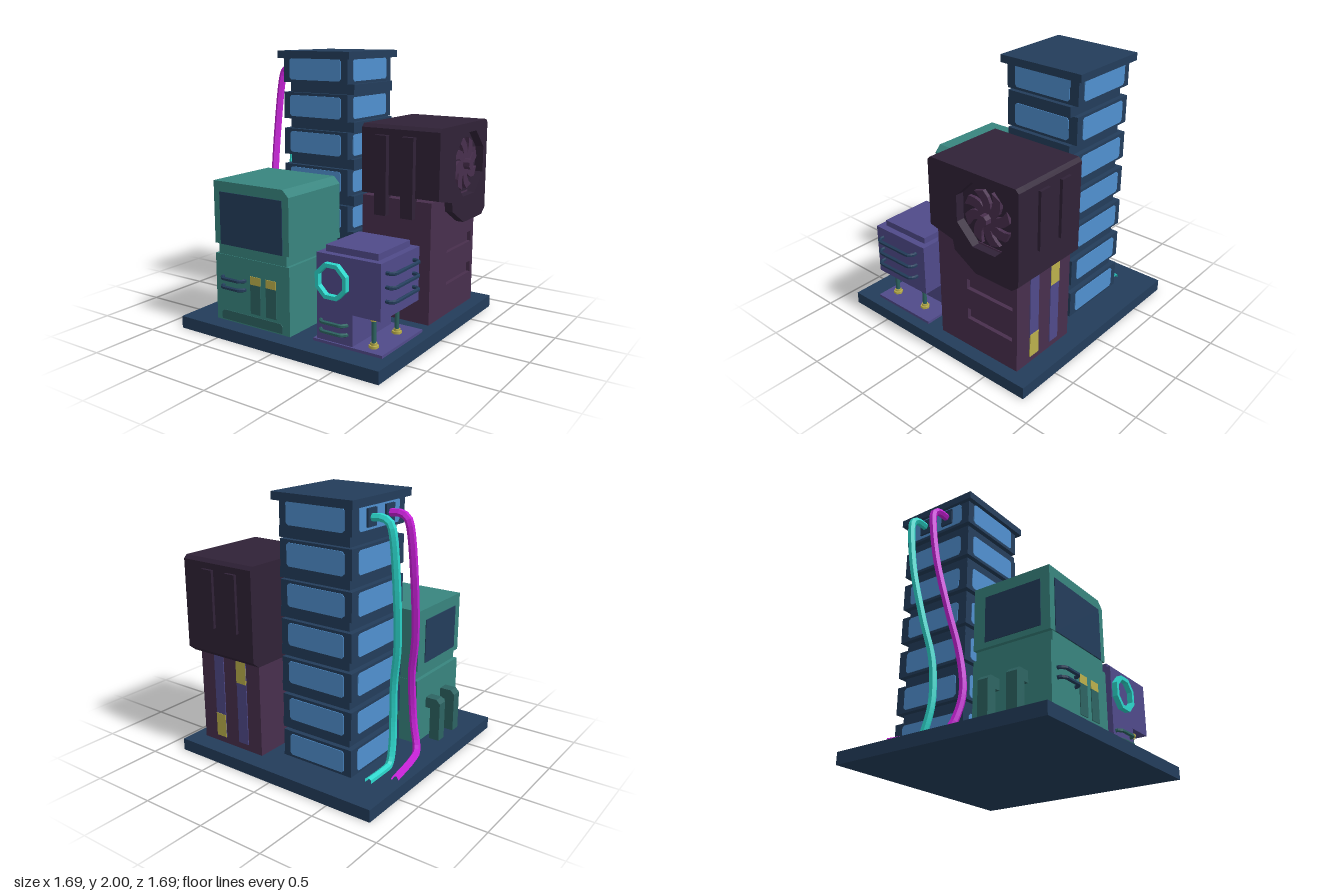
import * as THREE from 'three';

const mat = (name, color) => {
  const m = new THREE.MeshStandardMaterial({ color });
  m.name = name;
  return m;
};

export function createModel() {
  const M = {
    navy: mat('navy', 0x233d5b), glass: mat('window blue', 0x5090d0),
    teal: mat('teal', 0x38857f), darkTeal: mat('dark teal', 0x2d6462),
    purple: mat('purple', 0x504a8a), plum: mat('plum', 0x482f4d),
    dark: mat('dark plum', 0x302237), cyan: mat('cyan', 0x2cd6cb),
    magenta: mat('magenta', 0xc822d8), yellow: mat('yellow', 0xbcb04c),
  };
  const model = new THREE.Group();
  model.name = 'techDistrict';

  // ---- helpers ----
  const group = (name) => {
    const g = new THREE.Group();
    g.name = name;
    model.add(g);
    return g;
  };
  const add = (parent, name, geo, material) => {
    const mesh = new THREE.Mesh(geo, material);
    mesh.name = name;
    parent.add(mesh);
    return mesh;
  };
  // box given by its extents
  const box = (parent, name, material, x0, x1, y0, y1, z0, z1) => {
    const mesh = add(parent, name, new THREE.BoxGeometry(x1 - x0, y1 - y0, z1 - z0), material);
    mesh.position.set((x0 + x1) / 2, (y0 + y1) / 2, (z0 + z1) / 2);
    return mesh;
  };
  const outline = (pts) => pts.map(([x, y]) => new THREE.Vector2(x, y));
  const extrude = (pts, depth, holes = []) => {
    const s = new THREE.Shape(outline(pts));
    holes.forEach((h) => s.holes.push(new THREE.Path(outline(h))));
    return new THREE.ExtrudeGeometry(s, { depth, bevelEnabled: false });
  };
  // profile points are (-z, y), swept from x0 to x1
  const sweepX = (pts, x0, x1, holes) =>
    extrude(pts, x1 - x0, holes).rotateY(Math.PI / 2).translate(x0, 0, 0);
  const rect = (x0, x1, y0, y1) => [[x0, y0], [x1, y0], [x1, y1], [x0, y1]];
  const chamfered = (w, h, c) => [
    [-w + c, -h], [w - c, -h], [w, -h + c], [w, h - c],
    [w - c, h], [-w + c, h], [-w, h - c], [-w, -h + c]];
  const octagon = (cx, cy, r) => Array.from({ length: 8 }, (_, i) => {
    const a = (i + 0.5) * Math.PI / 4;
    return [cx + r * Math.cos(a), cy + r * Math.sin(a)];
  });
  const tube = (parent, name, material, pts, r, sides, seg, tension = 0.5) => {
    const curve = new THREE.CatmullRomCurve3(
      pts.map((p) => new THREE.Vector3(...p)), false, 'catmullrom', tension);
    const geo = new THREE.TubeGeometry(curve, seg, r, sides).toNonIndexed();
    geo.computeVertexNormals();
    material.side = THREE.DoubleSide;
    return add(parent, name, geo, material);
  };
  // U-shaped rail, local x along its length, bulging towards +z
  const rail = (parent, name, material, length, out) => {
    const w = length / 2 - 0.015;
    return tube(parent, name, material, [
      [-w, 0, -0.01], [-w, 0, out - 0.04], [-w + 0.03, 0, out - 0.013], [0, 0, out - 0.013],
      [w - 0.03, 0, out - 0.013], [w, 0, out - 0.04], [w, 0, -0.01]], 0.014, 6, 24, 0.2);
  };

  box(model, 'base', M.navy, -0.845, 0.845, 0, 0.09, -0.845, 0.845);

  // ---- office tower ----
  const tower = group('tower');
  box(tower, 'towerCap', M.navy, -0.57, 0.075, 1.945, 2, -0.66, 0.02);
  box(tower, 'towerCore', M.navy, -0.5, 0.075, 0.09, 1.945, -0.585, -0.05);
  for (let i = 0; i < 7; i++) {
    const y = 1.765 - i * 0.275;
    box(tower, 'floor', M.navy, -0.54, 0.04, y, Math.min(y + 0.2, 1.95), -0.62, -0.015);
    for (let s = 0; s < 4; s++) {
      const pane = new THREE.Group();
      pane.name = 'windowSide';
      pane.position.set(-0.25, y + 0.1, -0.3175);
      pane.rotation.y = s * Math.PI / 2;
      tower.add(pane);
      add(pane, 'window', extrude(chamfered(0.232, 0.08, 0.016), 0.006), M.glass)
        .position.z = s % 2 ? 0.289 : 0.302;
    }
  }
  // core steps in to the floors on the +x side, so the ledge is only between floors
  tower.getObjectByName('towerCore').visible = true;
  tower.getObjectByName('towerCore').scale.x = 0.9;
  tower.getObjectByName('towerCore').position.x = -0.24;
  for (let i = 0; i < 7; i++) {
    const y = 1.69 - i * 0.275;
    box(tower, 'ledge', M.navy, -0.5, 0.075, Math.max(y, 0.09), y + 0.075, -0.585, -0.05);
  }
  for (const z of [-0.215, -0.425])
    box(tower, 'cableSocket', M.navy, -0.56, -0.53, 1.805, 1.925, z - 0.05, z + 0.05);

  // ---- cables from the tower to the ground ----
  tube(model, 'magentaCable', M.magenta, [
    [-0.55, 1.865, -0.215], [-0.66, 1.862, -0.215], [-0.71, 1.77, -0.21], [-0.715, 1.4, -0.15],
    [-0.68, 1, -0.06], [-0.625, 0.7, 0], [-0.615, 0.45, 0.04], [-0.635, 0.28, 0.035],
    [-0.69, 0.12, -0.01], [-0.73, 0.1, -0.15], [-0.775, 0.1, -0.44]], 0.028, 6, 60);
  tube(model, 'cyanCable', M.cyan, [
    [-0.55, 1.865, -0.425], [-0.66, 1.862, -0.425], [-0.71, 1.77, -0.42], [-0.715, 1.4, -0.37],
    [-0.68, 1, -0.29], [-0.625, 0.7, -0.235], [-0.615, 0.45, -0.22], [-0.625, 0.28, -0.235],
    [-0.64, 0.12, -0.29], [-0.645, 0.1, -0.38], [-0.645, 0.1, -0.57]], 0.028, 6, 60);

  // ---- fan building ----
  const fanHouse = group('fanBuilding');
  const wall = rect(0, 0.705, 0.09, 0.98);
  add(fanHouse, 'lowerWalls', sweepX(wall, 0.185, 0.715), M.plum);
  add(fanHouse, 'ventWall', sweepX(wall, 0.715, 0.745,
    [rect(0.26, 0.665, 0.565, 0.645), rect(0.26, 0.665, 0.32, 0.405)]), M.plum);
  const head = [[-0.005, 1], [0.2, 0.955], [0.215, 0.885], [0.4, 0.775], [0.71, 0.775],
    [0.765, 0.82], [0.765, 1.475], [0.74, 1.5], [0.02, 1.5], [-0.005, 1.475]];
  add(fanHouse, 'head', sweepX(head, 0.18, 0.74), M.dark);
  add(fanHouse, 'fanFrame', sweepX(head, 0.74, 0.805, [octagon(0.475, 1.2, 0.25)]), M.dark);
  for (const x of [0.31, 0.525]) {
    box(fanHouse, 'frontRib', M.dark, x, x + 0.095, 0.855, 1.43, -0.02, 0.047);
    box(fanHouse, 'backRib', M.dark, x, x + 0.095, 1.01, 1.43, -0.787, -0.74);
    box(fanHouse, 'backStrip', M.purple, x, x + 0.09, 0.14, 0.83, -0.711, -0.702);
    const y = x < 0.4 ? 0.61 : 0.14;
    box(fanHouse, 'backLight', M.yellow, x, x + 0.09, y, y + 0.18, -0.714, -0.706);
  }
  // fan with curved blades
  const fan = group('fan');
  fan.position.set(0.745, 1.195, -0.475);
  fan.rotation.y = Math.PI / 2;
  const blade = new THREE.Shape();
  blade.moveTo(0.02, -0.02);
  blade.quadraticCurveTo(0.12, -0.06, 0.19, 0.03);
  blade.lineTo(0.165, 0.105);
  blade.quadraticCurveTo(0.12, 0.02, 0.02, 0.02);
  const bladeGeo = new THREE.ExtrudeGeometry(blade, { depth: 0.025, bevelEnabled: false, curveSegments: 4 });
  for (let i = 0; i < 8; i++) add(fan, 'blade', bladeGeo, M.plum).rotation.z = i * Math.PI / 4;
  add(fan, 'hub', extrude(octagon(0, 0, 0.04), 0.073), M.plum);

  // ---- screen building ----
  const screenHouse = group('screenBuilding');
  const upper = [[-0.605, 0.66], [0.06, 0.66], [0.06, 1.065], [0.01, 1.115], [-0.605, 1.115]];
  add(screenHouse, 'upperBody', extrude(upper, 0.605), M.teal).position.z = 0.115;
  box(screenHouse, 'waist', M.teal, -0.575, 0.035, 0.58, 0.67, 0.117, 0.715);
  box(screenHouse, 'lowerBody', M.teal, -0.605, 0.06, 0.09, 0.585, 0.115, 0.72);
  box(screenHouse, 'frontScreen', M.navy, -0.55, 0.005, 0.66, 1.04, 0.716, 0.725);
  box(screenHouse, 'sideScreen', M.navy, -0.61, -0.601, 0.7, 1.03, 0.21, 0.65);
  add(screenHouse, 'kickPlate', extrude(
    [[-0.555, 0.1], [0, 0.1], [0, 0.15], [-0.02, 0.17], [-0.535, 0.17], [-0.555, 0.15]], 0.006),
  M.darkTeal).position.z = 0.719;
  for (const x of [-0.285, -0.145]) {
    box(screenHouse, 'slot', M.darkTeal, x, x + 0.09, 0.19, 0.405, 0.716, 0.725);
    box(screenHouse, 'slotLight', M.yellow, x, x + 0.09, 0.405, 0.465, 0.716, 0.725);
  }
  for (const y of [0.42, 0.355])
    rail(screenHouse, 'frontRail', M.navy, 0.23, 0.055).position.set(-0.435, y, 0.72);
  const elbow = [[-0.725, 0.09], [-0.645, 0.09], [-0.645, 0.335], [-0.6, 0.335],
    [-0.6, 0.415], [-0.695, 0.415], [-0.725, 0.385]];
  for (const z of [0.25, 0.47])
    add(screenHouse, 'elbowDuct', extrude(elbow, 0.08), M.darkTeal).position.z = z;

  // ---- small machine house on posts ----
  const machine = group('machineHouse');
  box(machine, 'floorPlate', M.purple, 0.22, 0.765, 0.09, 0.11, 0.13, 0.672);
  const body = [[0.245, 0.1], [0.53, 0.1], [0.53, 0.33], [0.745, 0.33], [0.745, 0.715], [0.245, 0.715]];
  add(machine, 'body', extrude(body, 0.5), M.purple).position.z = 0.16;
  box(machine, 'roofPlate', M.purple, 0.285, 0.695, 0.71, 0.76, 0.2, 0.61);
  add(machine, 'ringPort', extrude(octagon(0.38, 0.54, 0.132), 0.05, [octagon(0.38, 0.54, 0.102)]),
    M.cyan).position.z = 0.65;
  for (const y of [0.64, 0.545, 0.45]) {
    const r = rail(machine, 'sideRail', M.navy, 0.38, 0.07);
    r.position.set(0.745, y, 0.42);
    r.rotation.y = Math.PI / 2;
  }
  for (const y of [0.25, 0.185])
    rail(machine, 'frontRail', M.darkTeal, 0.235, 0.047).position.set(0.383, y, 0.66);
  for (const z of [0.285, 0.585]) {
    add(machine, 'post', new THREE.CylinderGeometry(0.016, 0.016, 0.22, 8), M.darkTeal)
      .position.set(0.65, 0.22, z);
    for (const [y, r] of [[0.118, 0.035], [0.135, 0.024], [0.32, 0.035], [0.304, 0.024]])
      add(machine, 'postCollar', new THREE.CylinderGeometry(r, r, 0.02, 6), M.yellow)
        .position.set(0.65, y, z);
  }
  return model;
}
